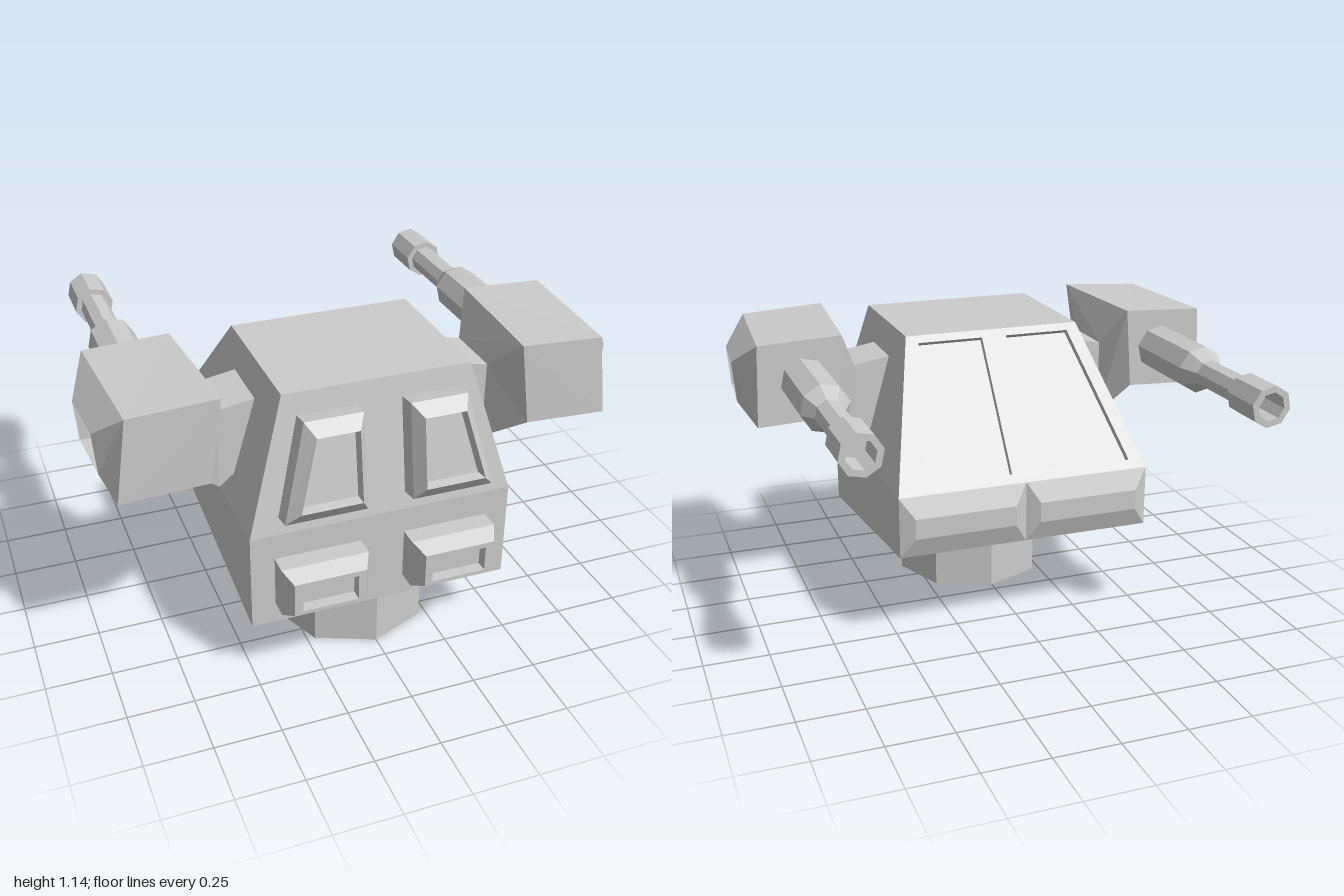
import * as THREE from 'three';

const material = new THREE.MeshStandardMaterial({ color: 0xcccccc, flatShading: true });

// Skin a series of equal-length loops, each counter-clockwise seen from the last one's side.
function loft(loops, { start = false, end = true, skip = () => false } = {}) {
  const pos = [];
  const tri = (a, b, c) => pos.push(...a, ...b, ...c);
  for (let k = 0; k < loops.length - 1; k++) {
    const a = loops[k], b = loops[k + 1], n = a.length;
    for (let i = 0; i < n; i++) {
      if (skip(k, i)) continue;
      const j = (i + 1) % n;
      tri(a[i], a[j], b[j]);
      tri(a[i], b[j], b[i]);
    }
  }
  const first = loops[0], last = loops[loops.length - 1];
  for (let i = 1; i < first.length - 1; i++) {
    if (start) tri(first[0], first[i + 1], first[i]);
    if (end) tri(last[0], last[i], last[i + 1]);
  }
  return toGeometry(pos);
}

function toGeometry(pos) {
  const g = new THREE.BufferGeometry();
  g.setAttribute('position', new THREE.Float32BufferAttribute(pos, 3));
  g.computeVertexNormals();
  return g;
}

// Mirror across x and restore the winding.
function mirrored(geometry) {
  const p = geometry.attributes.position, pos = [];
  for (let i = 0; i < p.count; i += 3) {
    for (const k of [i, i + 2, i + 1]) pos.push(-p.getX(k), p.getY(k), p.getZ(k));
  }
  return toGeometry(pos);
}

export function createModel() {
  const model = new THREE.Group();
  model.name = 'turret';
  const add = (name, geometry) => {
    const mesh = new THREE.Mesh(geometry, material);
    mesh.name = name;
    model.add(mesh);
  };
  const addPair = (name, geometry) => {
    add(name + 'Left', geometry);
    add(name + 'Right', mirrored(geometry));
  };

  // Octagonal pedestal
  const pedestal = new THREE.CylinderGeometry(0.31, 0.31, 0.36, 8);
  pedestal.translate(0, 0.18, 0.35);
  add('pedestal', pedestal);

  // Hull: three levels, leaving out the sloped rear face
  const level = (w, yFront, zFront, yBack, zBack) => [
    [w, yFront, zFront], [w, yBack, zBack], [-w, yBack, zBack], [-w, yFront, zFront],
  ];
  add('hull', loft([
    level(0.505, 0.23, 0.69, 0.37, -0.355),
    level(0.505, 0.61, 0.69, 0.61, -0.355),
    level(0.355, 1.12, 0.61, 1.12, 0.03),
  ], { start: true, skip: (k, i) => k === 1 && i === 1 }));

  // Sloped rear face with two openings; u runs toward -x, v up the slope, d inward
  const slope = (u, v, d = 0) => [-u, 0.61 + 0.51 * v - 0.6 * d, -0.355 + 0.385 * v + 0.8 * d];
  const toPoints = (list) => list.map(([u, v]) => new THREE.Vector2(u, v));
  const opening = [[-0.44, 0.06], [-0.05, 0.06], [-0.05, 0.95], [-0.31, 0.95]];
  const face = new THREE.Shape(toPoints([[-0.505, 0], [0.505, 0], [0.355, 1], [-0.355, 1]]));
  for (const s of [1, -1]) {
    face.holes.push(new THREE.Path(toPoints(opening.map(([u, v]) => [s * u, v]))));
  }
  const rear = new THREE.ShapeGeometry(face).toNonIndexed();
  const rp = rear.attributes.position;
  for (let i = 0; i < rp.count; i++) rp.setXYZ(i, ...slope(rp.getX(i), rp.getY(i)));
  rear.computeVertexNormals();
  add('rearSlope', rear);
  addPair('rearRecess', loft([0, 0.025].map((d) => opening.map(([u, v]) => slope(u, v, d)))));

  // Bulged panels along the lower rear
  const rearRect = (x0, x1, y0, y1, z) => [[x1, y0, z], [x0, y0, z], [x0, y1, z], [x1, y1, z]];
  addPair('rearBumper', loft([
    rearRect(0, 0.505, 0.37, 0.61, -0.355),
    rearRect(0.05, 0.45, 0.45, 0.53, -0.385),
  ]));

  // Lower front lamps with a sunken pane
  const rect = (x0, x1, y0, y1, z) => [[x0, y0, z], [x1, y0, z], [x1, y1, z], [x0, y1, z]];
  addPair('frontLamp', loft([
    rect(0.085, 0.415, 0.315, 0.51, 0.68),
    rect(0.085, 0.415, 0.315, 0.51, 0.765),
    rect(0.115, 0.387, 0.347, 0.48, 0.825),
    rect(0.145, 0.355, 0.36, 0.46, 0.825),
    rect(0.145, 0.355, 0.36, 0.46, 0.78),
  ]));

  // Upper front windows standing out from the sloped face
  const pane = (x0, xBottom, xTop, y0, y1, off) =>
    [[x0, y0], [xBottom, y0], [xTop, y1], [x0, y1]]
      .map(([x, y]) => [x, y, 0.69 - (y - 0.61) * 0.157 + off]);
  addPair('frontWindow', loft([
    pane(0.087, 0.395, 0.305, 0.675, 1.037, -0.005),
    pane(0.087, 0.395, 0.305, 0.69, 1.05, 0.077),
    pane(0.12, 0.348, 0.277, 0.745, 1.01, 0.125),
    pane(0.125, 0.337, 0.27, 0.75, 1.005, 0.085),
  ]));

  // Arms between hull and pods
  const side = (x, y0, y1, z0, z1) => [[x, y0, z1], [x, y0, z0], [x, y1, z0], [x, y1, z1]];
  addPair('arm', loft([
    side(0.385, 0.79, 1.01, 0.17, 0.41),
    side(0.53, 0.67, 0.985, 0.17, 0.41),
  ], { start: true }));

  // Gun pods: tapered inner end, skewed box, bevelled outer end with a recess
  const port = [[0.972, 0.865, 0.485], [0.988, 0.865, 0.235], [1, 1.025, 0.235], [0.984, 1.025, 0.485]];
  addPair('gunPod', loft([
    side(0.53, 0.67, 0.985, 0.17, 0.41),
    [[0.61, 0.82, 0.605], [0.625, 0.82, 0.055], [0.60, 1.14, 0.055], [0.562, 1.145, 0.61]],
    [[0.935, 0.805, 0.605], [0.94, 0.805, 0.055], [0.925, 1.125, 0.055], [0.89, 1.125, 0.605]],
    port,
    port.map(([x, y, z]) => [x - 0.07, y, z]),
  ], { start: true }));

  // Octagonal barrels with a stepped profile and hollow muzzle: [radius, z]
  const ring = ([r, z]) => Array.from({ length: 8 }, (_, i) => {
    const a = THREE.MathUtils.degToRad(10 + 45 * i);
    return [0.75 - r * Math.cos(a), 0.972 + r * Math.sin(a), z];
  });
  addPair('barrel', loft([
    [0.094, 0.1], [0.094, -0.31], [0.056, -0.38], [0.056, -0.65],
    [0.079, -0.65], [0.079, -0.83], [0.054, -0.83], [0.054, -0.7],
  ].map(ring)));

  return model;
}
